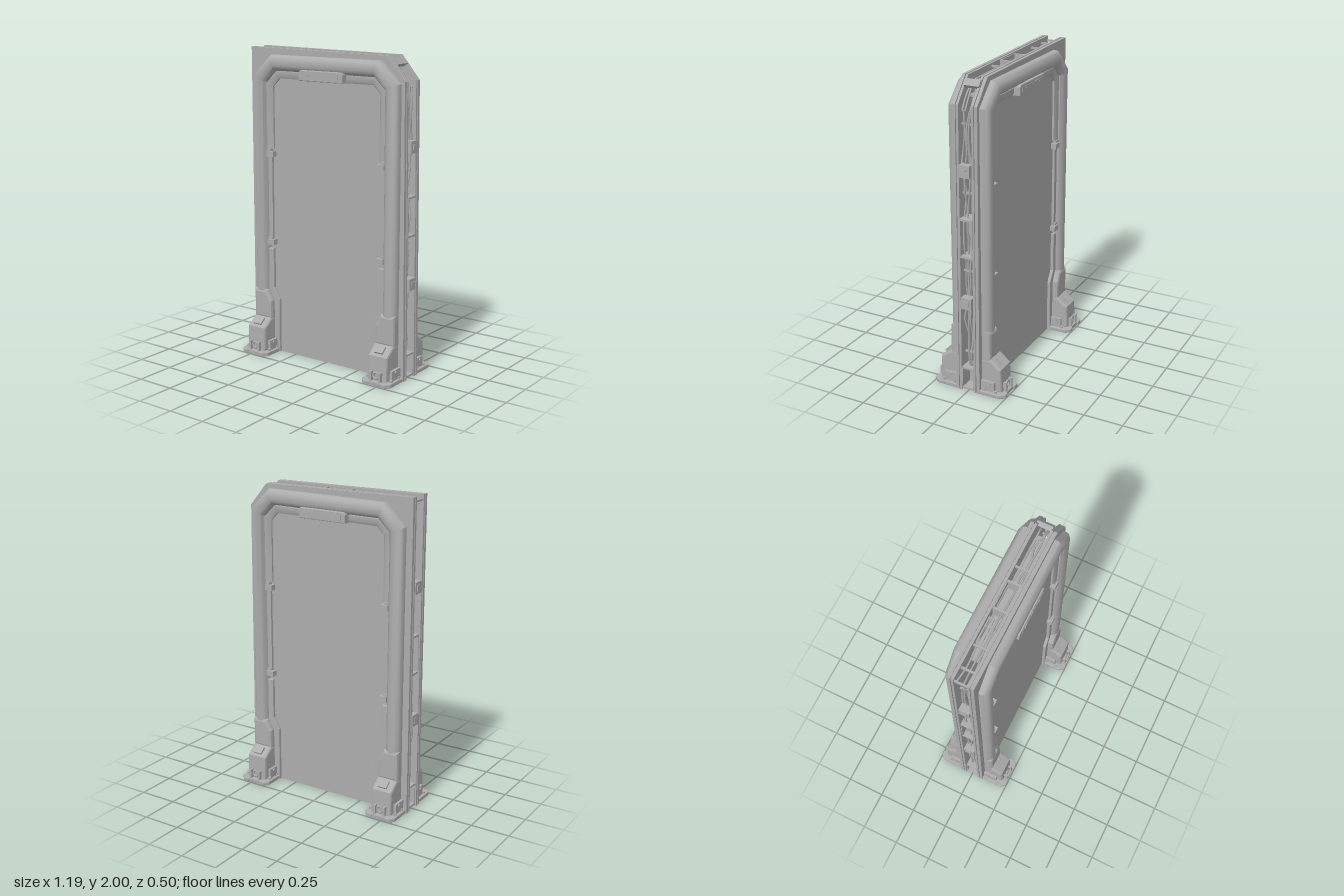
import * as THREE from 'three';
import { toCreasedNormals } from 'three/addons/utils/BufferGeometryUtils.js';

const grey = new THREE.MeshStandardMaterial({ color: 0xacacac });
grey.name = 'grey metal';

function add(parent, name, geo, x = 0, y = 0, z = 0) {
  const m = new THREE.Mesh(geo, grey);
  m.name = name;
  m.position.set(x, y, z);
  parent.add(m);
  return m;
}
const box = (parent, name, w, h, d, x, y, z) => add(parent, name, new THREE.BoxGeometry(w, h, d), x, y, z);

function extrude(points, depth, bevel = 0) {
  const shape = new THREE.Shape(points.map(p => new THREE.Vector2(...p)));
  const g = new THREE.ExtrudeGeometry(shape, {
    depth: depth - 2 * bevel, bevelEnabled: bevel > 0, bevelSize: bevel,
    bevelThickness: bevel, bevelOffset: -bevel, bevelSegments: 2,
  });
  return g.translate(0, 0, bevel);
}
// Outline in (z, y), centred across x
const sideExtrude = (pts, width, bevel) =>
  extrude(pts, width, bevel).rotateY(-Math.PI / 2).translate(width / 2, 0, 0);

// Sweeps a (inward offset, z) profile along a path in the xy plane with mitred corners
function sweep(path, profile) {
  const P = path.map(p => new THREE.Vector2(...p));
  const pos = [], idx = [], n = profile.length;
  P.forEach((p, i) => {
    const a = P[Math.max(i - 1, 0)], b = P[Math.min(i + 1, P.length - 1)];
    const right = (u, v) => new THREE.Vector2(v.y - u.y, u.x - v.x).normalize();
    const r1 = i > 0 ? right(a, p) : right(p, b);
    const r2 = i < P.length - 1 ? right(p, b) : r1;
    const m = r1.clone().add(r2).normalize();
    m.divideScalar(m.dot(r1));
    profile.forEach(([o, z], j) => {
      pos.push(p.x + m.x * o, p.y + m.y * o, z);
      if (i < P.length - 1 && j < n - 1) {
        const k = i * n + j;
        idx.push(k, k + 1, k + n + 1, k, k + n + 1, k + n);
      }
    });
  });
  const g = new THREE.BufferGeometry();
  g.setAttribute('position', new THREE.Float32BufferAttribute(pos, 3));
  g.setIndex(idx);
  return toCreasedNormals(g, 0.65);
}
// Mirrors a left-hand path to make a full arch
const arch = half => [...half, ...half.map(([x, y]) => [-x, y]).reverse()];

function makeFoot() {
  const foot = new THREE.Group();
  foot.name = 'foot';
  // Base plate with cut corners, in (x, -z)
  const base = extrude([[-.105, -.07], [-.105, -.22], [-.08, -.25], [-.05, -.25], [-.04, -.24], [.04, -.24],
    [.05, -.25], [.08, -.25], [.105, -.22], [.105, -.07]], 0.026, 0.005).rotateX(-Math.PI / 2);
  add(foot, 'footPlate', base);
  add(foot, 'footBody', sideExtrude([[.07, .02], [.215, .02], [.21, .18], [.14, .235], [.07, .235]], 0.14, 0.014));
  box(foot, 'footSkirt', 0.175, 0.07, 0.1, 0, 0.055, 0.125);
  const wedge = box(foot, 'footWedge', 0.06, 0.012, 0.05, 0, 0.214, 0.18);
  wedge.rotation.x = 0.67;
  for (const s of [-1, 1]) {
    box(foot, 'lugCheek', 0.014, 0.06, 0.03, s * 0.034, 0.055, 0.222);
    for (const z of [0.105, 0.185])
      add(foot, 'bolt', new THREE.CylinderGeometry(0.011, 0.011, 0.014, 6), s * 0.086, 0.032, z);
    const pin = add(foot, 'sidePin', new THREE.CylinderGeometry(0.01, 0.01, 0.01, 10), s * 0.09, 0.075, 0.14);
    pin.rotation.z = Math.PI / 2;
  }
  add(foot, 'lugRing', new THREE.TorusGeometry(0.02, 0.007, 8, 18), 0, 0.06, 0.222);
  return foot;
}

// Everything mounted on one face of the doorway
function makeFace() {
  const face = new THREE.Group();
  face.name = 'faceFrame';
  const tube = [[0, .078], [0, .1], [.006, .116], [.02, .13], [.036, .137], [.064, .137], [.082, .128], [.094, .112], [.1, .09], [.1, .078]];
  add(face, 'frameTube', sweep(arch([[-.548, .2], [-.548, 1.825], [-.415, 1.957]]), tube));

  // Inner trim: full-width arch, slim middle rails and lower rails
  const trim = w => [[0, .078], [0, .104], [w * .6, .104], [w, .094], [w, .078]];
  add(face, 'upperTrim', sweep(arch([[-.452, 1.36], [-.452, 1.778], [-.375, 1.855]]), trim(.045)));
  for (const s of [-1, 1]) {
    const side = new THREE.Group();
    side.name = 'sideTrim';
    box(side, 'middleRail', 0.034, 0.62, 0.02, s * 0.436, 1.04, 0.088);
    const rail = [[.455, 0], [.37, 0], [.37, .36], [.413, .435], [.413, .7], [.455, .7]].map(([x, y]) => [s * x, y]);
    add(side, 'lowerRail', extrude(rail, 0.026, 0.005), 0, 0, 0.076);
    for (const y of [0.745, 1.325]) {
      box(side, 'clip', 0.052, 0.035, 0.04, s * 0.424, y, 0.097);
      box(side, 'clipTab', 0.03, 0.055, 0.03, s * 0.438, y + 0.005, 0.092);
    }
    const sleeve = [[.55, .225], [.41, .225], [.41, .35], [.447, .42], [.55, .42]].map(([x, y]) => [s * x, y]);
    add(side, 'sleeve', extrude(sleeve, 0.064, 0.018), 0, 0, 0.076);
    face.add(side);
    const foot = makeFoot();
    foot.position.x = s * 0.479;
    face.add(foot);
  }

  // Header bar over the door
  add(face, 'headerBar', extrude([[-.165, 1.81], [.165, 1.81], [.165, 1.862], [.152, 1.876], [-.152, 1.876], [-.165, 1.862]], 0.066, 0.005), 0, 0, 0.078);
  box(face, 'headerInset', 0.27, 0.03, 0.008, 0, 1.843, 0.143);
  for (const x of [-0.09, 0.09]) {
    const b = add(face, 'headerBolt', new THREE.CylinderGeometry(0.006, 0.006, 0.006, 8), x, 1.843, 0.147);
    b.rotation.x = Math.PI / 2;
  }
  return face;
}

// Open tray facing +y
function makeTray(w, d, h) {
  const tray = new THREE.Group();
  tray.name = 'recessedBox';
  box(tray, 'trayFloor', w, 0.01, d, 0, -h, 0);
  for (const s of [-1, 1]) {
    box(tray, 'trayEnd', 0.012, h, d, s * (w / 2 - 0.006), -h / 2, 0);
    box(tray, 'traySide', w, h, 0.008, 0, -h / 2, s * (d / 2 - 0.004));
  }
  return tray;
}

export function createModel() {
  const model = new THREE.Group();
  model.name = 'doorway';
  let seed = 7;
  const rand = () => (seed = (seed * 16807) % 2147483647) / 2147483647 - 0.5;

  // Front and back door slabs, each with a stepped inner edge
  const outline = d => [[-.59 + d, 0], [.586 - d, 0], [.57 - d, 1.84 - d / 2], [.447 - d / 2, 1.985 - d], [-.59 + d, 2 - d]];
  for (const [z0, z1] of [[0.062, -0.082], [0.042, -0.056]]) {
    add(model, 'doorSlab', extrude(outline(0), z0 > 0.05 ? 0.02 : 0.014), 0, 0, z0);
    add(model, 'doorSlab', extrude(outline(0), z0 > 0.05 ? 0.02 : 0.014), 0, 0, z1);
  }
  for (const z of [0.054, -0.064]) add(model, 'slabCore', extrude(outline(0.008), 0.01), 0, 0, z);

  const front = makeFace(), back = makeFace();
  back.rotation.y = Math.PI;
  model.add(front, back);

  // Threshold between the slabs
  box(model, 'threshold', 0.86, 0.012, 0.09, 0, 0.03, 0);
  for (const x of [-0.34, 0.34]) box(model, 'thresholdBlock', 0.09, 0.02, 0.06, x, 0.018, 0);

  // Side channels: trays, clamps and spacer bars
  for (const s of [-1, 1]) {
    const side = new THREE.Group();
    side.name = 'sideChannel';
    for (const [y, len] of [[1.025, 0.25], [0.085, 0.15]]) {
      const t = makeTray(len, 0.088, 0.09);
      t.rotation.z = -s * Math.PI / 2;
      t.position.set(s * 0.582, y, 0);
      side.add(t);
    }
    for (const y of [0.605, 1.45]) {
      box(side, 'clamp', 0.05, 0.075, 0.07, s * 0.567, y, 0);
      box(side, 'clampFace', 0.01, 0.035, 0.035, s * 0.592, y, 0);
    }
    for (const y of [0.25, 0.8, 1.3, 1.72])
      box(side, 'spacer', 0.012, 0.012, 0.09, s * 0.53, y, 0);
    for (const z of [-0.026, -0.008, 0.01, 0.027]) {
      const pts = [];
      for (let y = 0.12; y < 1.86; y += 0.12)
        pts.push(new THREE.Vector3(s * (0.54 + rand() * 0.03), y, z + rand() * 0.022));
      add(side, 'cable', new THREE.TubeGeometry(new THREE.CatmullRomCurve3(pts), 90, 0.006, 6));
    }
    model.add(side);
  }

  // Top channel: tray, spacer bars, open frame, corner block and cables
  const topTray = makeTray(0.19, 0.088, 0.09);
  topTray.position.set(-0.025, 1.985, 0);
  model.add(topTray);
  for (const x of [-0.58, -0.495, -0.35, 0.165])
    box(model, 'topSpacer', 0.012, 0.012, 0.09, x, 1.97, 0);
  for (const z of [-0.035, -0.008]) box(model, 'topFrameRail', 0.17, 0.01, 0.008, -0.25, 1.965, z);
  for (const x of [-0.33, -0.17]) box(model, 'topFrameEnd', 0.008, 0.01, 0.035, x, 1.965, -0.021);
  box(model, 'headerFloor', 0.84, 0.012, 0.088, 0.02, 1.86, 0);
  const corner = box(model, 'cornerBlock', 0.045, 0.03, 0.1, 0.478, 1.945, -0.005);
  corner.rotation.z = -0.86;
  for (const z of [-0.025, 0.008, 0.027]) {
    const pts = [];
    for (let x = -0.57; x < 0.46; x += 0.1)
      pts.push(new THREE.Vector3(x, 1.945 + rand() * 0.02, z + rand() * 0.022));
    pts.push(new THREE.Vector3(0.5, 1.88, z), new THREE.Vector3(0.55, 1.8, z));
    add(model, 'topCable', new THREE.TubeGeometry(new THREE.CatmullRomCurve3(pts), 70, 0.006, 6));
  }
  return model;
}
